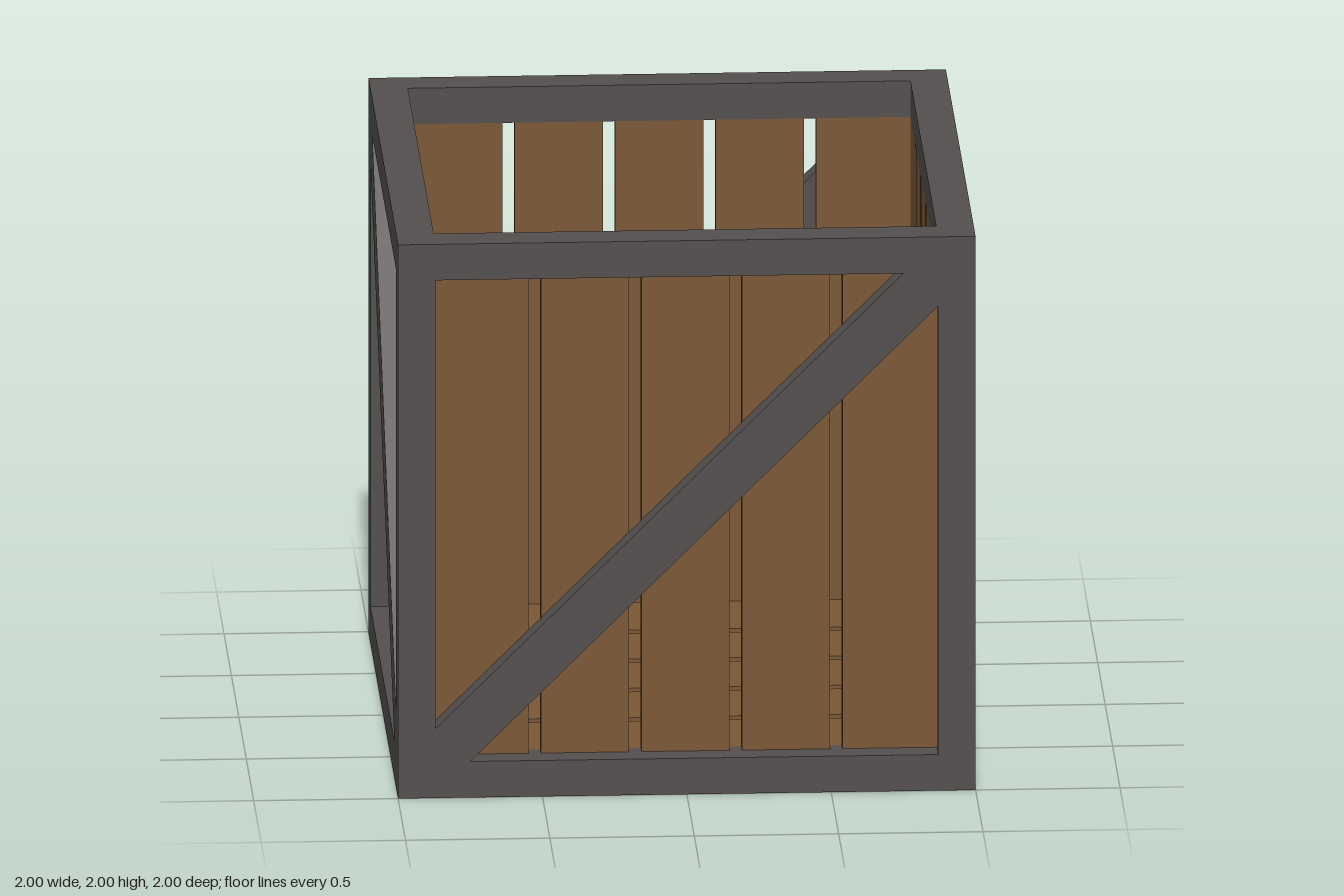
import * as THREE from 'three';

const BEAM = 0.13;              // square frame section
const INNER = 1 - BEAM;         // half size of each opening
const RECESS = 0.088;           // planks sit this far behind the frame face
const PLANK_T = BEAM - RECESS;
const GAP = 0.042;
const PITCH = 0.348;
const BRACE = 0.12;             // brace corner cut along each frame edge

export function createModel() {
  const frameMat = new THREE.MeshStandardMaterial({ color: 0x534f4e });
  frameMat.name = 'dark grey frame';
  const woodMat = new THREE.MeshStandardMaterial({ color: 0x7b5836 });
  woodMat.name = 'brown wood';

  const crate = new THREE.Group();
  crate.name = 'openCrate';
  const body = new THREE.Group();   // centred on the origin, lifted at the end
  body.name = 'crateBody';
  body.position.y = 1;
  crate.add(body);

  const add = (parent, name, geometry, material, x = 0, y = 0, z = 0) => {
    const mesh = new THREE.Mesh(geometry, material);
    mesh.name = name;
    mesh.position.set(x, y, z);
    parent.add(mesh);
    return mesh;
  };

  // Frame: four posts, with rails fitted between them at top and bottom
  const c = 1 - BEAM / 2;
  const post = new THREE.BoxGeometry(BEAM, 2, BEAM);
  const railX = new THREE.BoxGeometry(2 * INNER, BEAM, BEAM);
  const railZ = new THREE.BoxGeometry(BEAM, BEAM, 2 * INNER);
  for (const a of [-c, c]) {
    for (const b of [-c, c]) {
      add(body, 'cornerPost', post, frameMat, a, 0, b);
      add(body, 'crossRail', railX, frameMat, 0, a, b);
      add(body, 'sideRail', railZ, frameMat, b, a, 0);
    }
  }

  // Diagonal brace, its ends cut to fit the frame corners
  const p = INNER, q = INNER - BRACE;
  const outline = new THREE.Shape(
    [[-p, -p], [-q, -p], [p, q], [p, p], [q, p], [-p, -q]].map(([x, y]) => new THREE.Vector2(x, y)));
  const braceGeo = new THREE.ExtrudeGeometry(outline, { depth: RECESS, bevelEnabled: false });

  // One panel facing +z: five planks behind a brace
  function addPanel(name, rotation, flipBrace) {
    const panel = new THREE.Group();
    panel.name = name;
    panel.rotation.set(...rotation);
    for (let i = -2; i <= 2; i++) {
      let x0 = i * PITCH - (PITCH - GAP) / 2;
      let x1 = i * PITCH + (PITCH - GAP) / 2;
      if (i === -2) x0 = -INNER;    // outer planks reach the posts
      if (i === 2) x1 = INNER;
      add(panel, 'plank', new THREE.BoxGeometry(x1 - x0, 2 * INNER, PLANK_T), woodMat,
        (x0 + x1) / 2, 0, INNER + PLANK_T / 2);
    }
    const brace = add(panel, 'diagonalBrace', braceGeo, frameMat, 0, 0, 1 - RECESS);
    if (flipBrace) brace.rotation.z = Math.PI / 2;
    body.add(panel);
  }

  const R = Math.PI / 2;
  addPanel('frontPanel', [0, 0, 0], false);
  addPanel('leftPanel', [0, R, 0], false);
  addPanel('backPanel', [0, Math.PI, 0], true);
  addPanel('rightPanel', [0, -R, 0], true);
  addPanel('bottomPanel', [R, 0, R], false);

  return crate;
}
